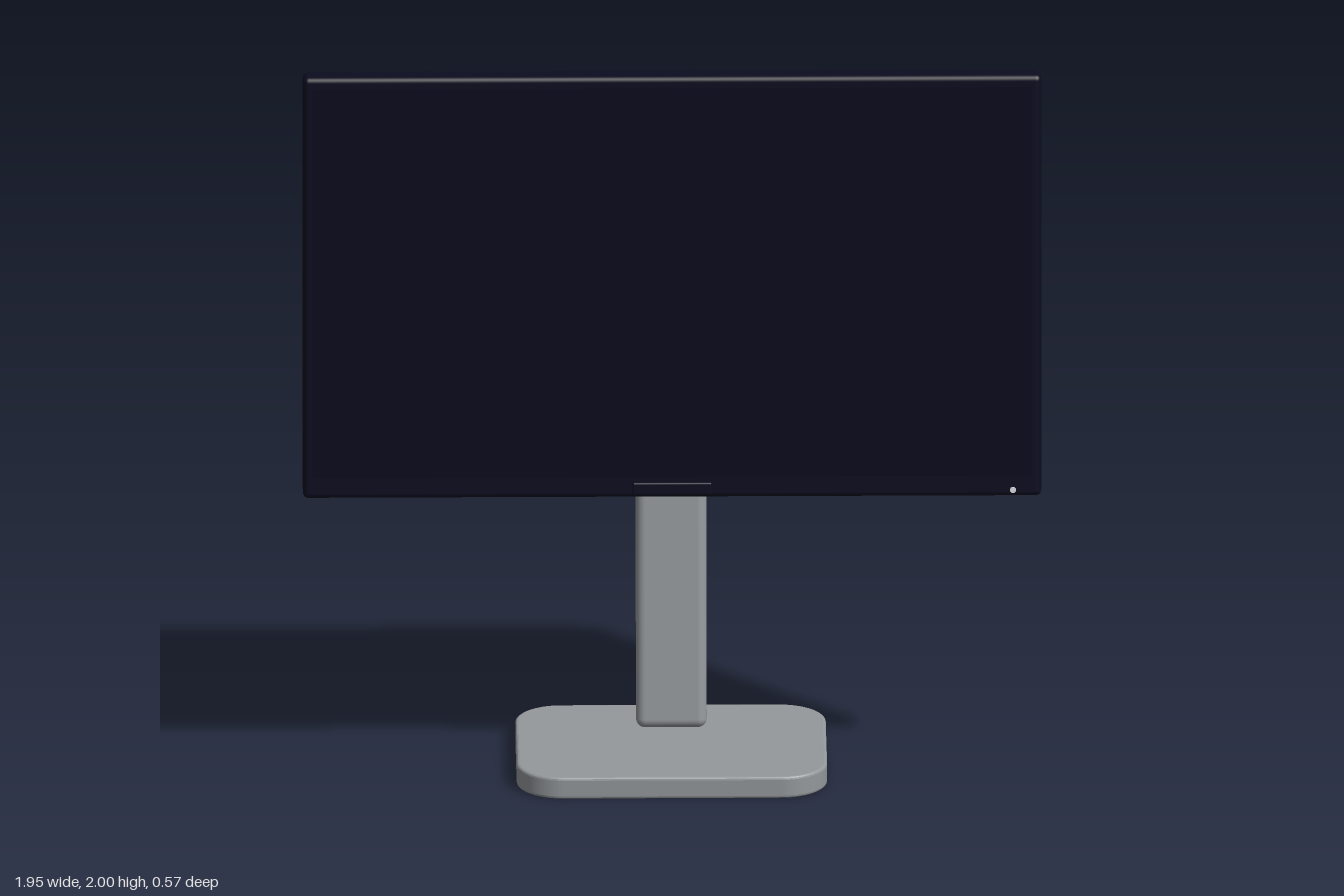
import * as THREE from 'three';
import { RoundedBoxGeometry } from 'three/addons/geometries/RoundedBoxGeometry.js';

function material(name, color) {
  const m = new THREE.MeshStandardMaterial({ color });
  m.name = name;
  return m;
}

// Rounded rectangle outline centred on the origin
function roundedRect(w, h, r) {
  const x = w / 2 - r, y = h / 2 - r;
  const s = new THREE.Shape();
  s.absarc(x, y, r, 0, Math.PI / 2);
  s.absarc(-x, y, r, Math.PI / 2, Math.PI);
  s.absarc(-x, -y, r, Math.PI, Math.PI * 1.5);
  s.absarc(x, -y, r, Math.PI * 1.5, Math.PI * 2);
  s.closePath();
  return s;
}

export function createModel() {
  const model = new THREE.Group();
  model.name = 'monitor';

  const casing = material('dark casing', 0x0c0c20);
  const glass = material('screen glass', 0x0a0a1e);
  const metal = material('grey metal', 0x94989b);
  const light = material('indicator light', 0xe8ecf0);

  const add = (name, geometry, mat, x, y, z) => {
    const mesh = new THREE.Mesh(geometry, mat);
    mesh.name = name;
    mesh.position.set(x, y, z);
    model.add(mesh);
    return mesh;
  };
  const box = (w, h, d, r) => new RoundedBoxGeometry(w, h, d, 5, r);

  // Display panel with a thin screen face
  add('displayPanel', box(1.95, 1.18, 0.065, 0.015), casing, 0, 1.41, 0.1865);
  add('screen', new THREE.BoxGeometry(1.9, 1.09, 0.004), glass, 0, 1.425, 0.2185);

  // Chin strip and indicator light below the screen
  add('chinStrip', box(0.21, 0.035, 0.014, 0.005), casing, 0, 0.847, 0.219);
  const lamp = add('indicatorLight', new THREE.CylinderGeometry(0.008, 0.008, 0.01, 20), light, 0.9, 0.84, 0.219);
  lamp.rotation.x = Math.PI / 2;

  // Rear housing and mounting block
  add('rearHousing', box(1.71, 0.91, 0.13, 0.06), casing, 0, 1.395, 0.097);
  add('mountBlock', box(0.28, 0.185, 0.08, 0.03), casing, 0, 1.41, 0.01);

  // Neck leaning backwards
  const neck = add('neck', box(0.187, 0.924, 0.065, 0.024), metal, 0, 0.57, -0.0275);
  neck.rotation.x = -0.12;

  // Flat foot with rounded corners and a small bevel
  const bevel = 0.008;
  const foot = new THREE.ExtrudeGeometry(roundedRect(0.82 - 2 * bevel, 0.575 - 2 * bevel, 0.115), {
    depth: 0.06 - 2 * bevel, bevelEnabled: true, bevelSize: bevel,
    bevelThickness: bevel, bevelSegments: 3, curveSegments: 16,
  });
  foot.rotateX(-Math.PI / 2);
  add('foot', foot, metal, 0, bevel, 0);

  return model;
}
